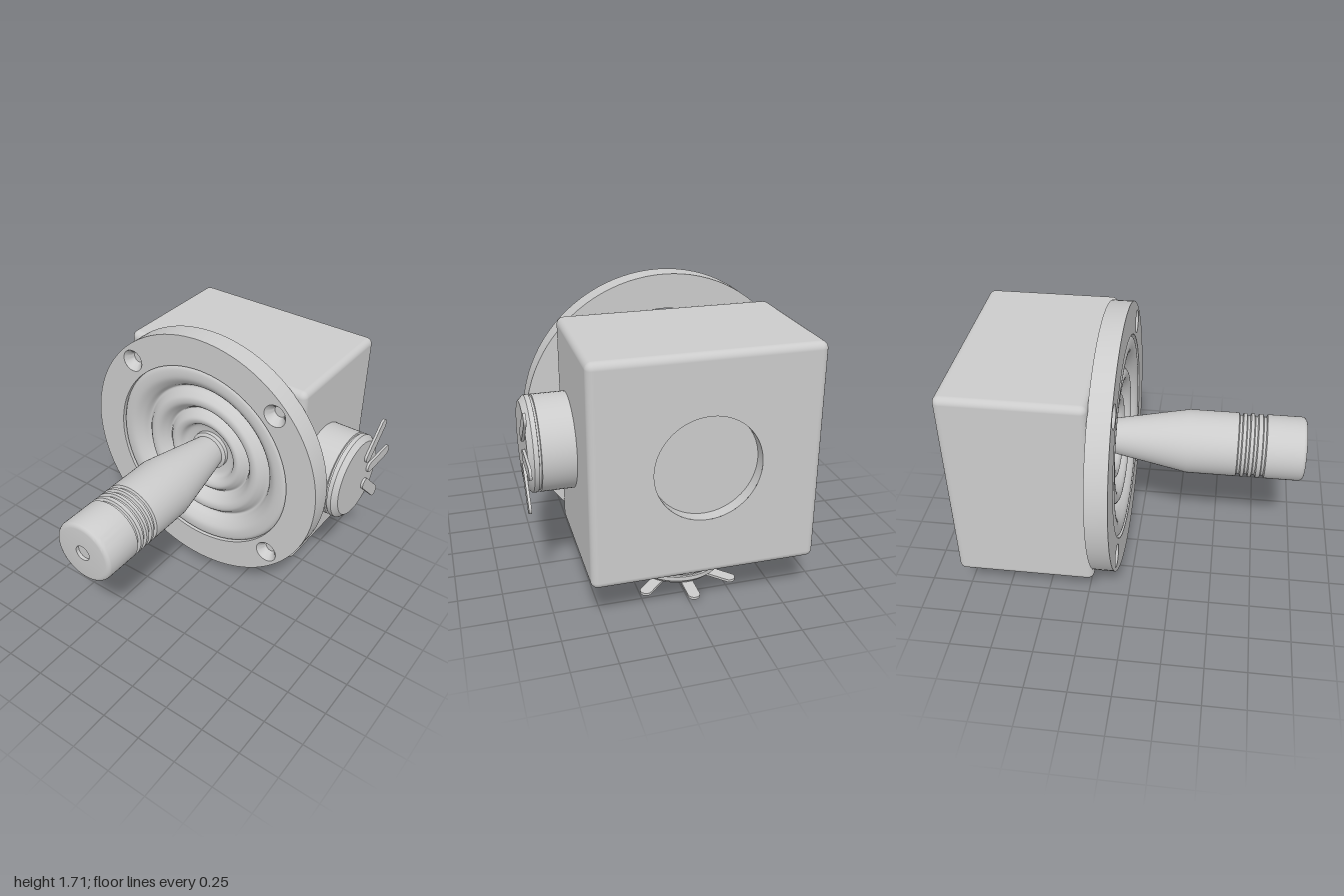
import * as THREE from 'three';
import { toCreasedNormals } from 'three/addons/utils/BufferGeometryUtils.js';
import { RoundedBoxGeometry } from 'three/addons/geometries/RoundedBoxGeometry.js';

const CX = -0.04, CY = 0.895; // main axis of the unit
const material = new THREE.MeshStandardMaterial({ color: 0xcccccc });

function addMesh(parent, name, geometry) {
  const mesh = new THREE.Mesh(geometry, material);
  mesh.name = name;
  parent.add(mesh);
  return mesh;
}

// Turned part about y from [radius, height] pairs, bottom to top
function turned(points, segments = 64) {
  const profile = points.map(p => new THREE.Vector2(p[0], p[1]));
  return toCreasedNormals(new THREE.LatheGeometry(profile, segments), 0.6);
}

function circlePath(x, y, r) {
  return new THREE.Path().absarc(x, y, r, 0, Math.PI * 2, true);
}

// Rounded housing whose flat back has a shallow round recess
function addHousing(parent) {
  const housing = new THREE.Group();
  housing.name = 'housing';
  housing.position.z = -0.5925;
  parent.add(housing);

  const size = 1.24, depth = 0.815, radius = 0.04, holeR = 0.29, recess = 0.07;
  const box = new RoundedBoxGeometry(size, size, depth, 4, radius);
  const pos = box.attributes.position, nor = box.attributes.normal;
  const keptPos = [], keptNor = [];
  for (let i = 0; i < pos.count; i += 3) {
    const isBack = [0, 1, 2].every(k => pos.getZ(i + k) < -depth / 2 + 1e-5);
    if (isBack) continue;
    for (let k = i; k < i + 3; k++) {
      keptPos.push(pos.getX(k), pos.getY(k), pos.getZ(k));
      keptNor.push(nor.getX(k), nor.getY(k), nor.getZ(k));
    }
  }
  const shell = new THREE.BufferGeometry();
  shell.setAttribute('position', new THREE.Float32BufferAttribute(keptPos, 3));
  shell.setAttribute('normal', new THREE.Float32BufferAttribute(keptNor, 3));
  addMesh(housing, 'housingShell', shell);

  const h = size / 2 - radius;
  const face = new THREE.Shape([[-h, -h], [h, -h], [h, h], [-h, h]].map(p => new THREE.Vector2(...p)));
  face.holes.push(circlePath(0, 0, holeR));
  const back = addMesh(housing, 'housingBack', new THREE.ShapeGeometry(face, 48));
  back.rotation.y = Math.PI;
  back.position.z = -depth / 2;

  const well = addMesh(housing, 'backRecess', turned([[holeR, 0], [holeR, -recess], [0, -recess]]));
  well.rotation.x = -Math.PI / 2;
  well.position.z = -depth / 2;
}

// Round mounting plate with bellows opening and four countersunk screw holes
function addPlate(parent) {
  const plate = new THREE.Shape().absarc(0, 0, 0.81, 0, Math.PI * 2, false);
  plate.holes.push(circlePath(0, 0, 0.615));
  for (const sx of [-1, 1]) for (const sy of [-1, 1]) {
    const x = sx * 0.507, y = sy * 0.507;
    plate.holes.push(circlePath(x, y, 0.07));
    const sink = addMesh(parent, 'screwHole', turned([[0.07, 0], [0.042, -0.035], [0.036, -0.06], [0, -0.06]], 32));
    sink.rotation.x = Math.PI / 2;
    sink.position.set(x, y, -0.06);
  }
  const geometry = new THREE.ExtrudeGeometry(plate, { depth: 0.128, bevelEnabled: false, curveSegments: 48 });
  addMesh(parent, 'mountingPlate', toCreasedNormals(geometry, 0.6)).position.z = -0.188;
}

// Rippled rubber boot sinking towards the lever
function addBellows(parent) {
  const ripple = new THREE.SplineCurve([
    [0.615, -0.085], [0.59, -0.064], [0.53, -0.064], [0.48, -0.1], [0.452, -0.14],
    [0.42, -0.108], [0.39, -0.085], [0.35, -0.09], [0.315, -0.13], [0.296, -0.158],
    [0.27, -0.13], [0.24, -0.108], [0.205, -0.12], [0.175, -0.165], [0.1, -0.178],
  ].map(p => new THREE.Vector2(...p)));
  const geometry = new THREE.LatheGeometry(ripple.getPoints(70), 72);
  addMesh(parent, 'bellows', geometry).rotation.x = Math.PI / 2;
}

// Tapered lever with ringed grip and a dimple in its end
function addLever(parent) {
  const R = 0.19;
  const profile = [[0, -0.18], [0.125, -0.18], [0.125, -0.15], [0.105, -0.14], [0.121, -0.06], [R, 0.31]];
  for (const z of [0.615, 0.66, 0.705, 0.755]) {
    profile.push([R, z - 0.013], [R - 0.015, z - 0.007], [R - 0.015, z + 0.007], [R, z + 0.013]);
  }
  for (let i = 0; i <= 5; i++) {
    const a = i / 5 * Math.PI / 2;
    profile.push([R - 0.03 + 0.03 * Math.cos(a), 0.97 + 0.03 * Math.sin(a)]);
  }
  profile.push([0.047, 1], [0.047, 0.98], [0, 0.98]);
  addMesh(parent, 'lever', turned(profile)).rotation.x = Math.PI / 2;
}

// Flat contact strip with round ends, from (x1, y1) to (x2, y2)
function contactGeometry(x1, y1, x2, y2) {
  const r = 0.034, a = Math.atan2(y2 - y1, x2 - x1);
  const strip = new THREE.Shape();
  strip.absarc(x2, y2, r, a - Math.PI / 2, a + Math.PI / 2, false);
  strip.absarc(x1, y1, r, a + Math.PI / 2, a + Math.PI * 1.5, false);
  const geometry = new THREE.ExtrudeGeometry(strip, { depth: 0.015, bevelEnabled: false, curveSegments: 10 });
  return toCreasedNormals(geometry.rotateX(-Math.PI / 2), 0.6);
}

// Round connector pointing along local +y, contacts fanning towards -z
function makeConnector(name) {
  const connector = new THREE.Group();
  connector.name = name;
  addMesh(connector, 'connectorBody', turned([
    [0.265, -0.03], [0.265, 0.182], [0.255, 0.184], [0.255, 0.194], [0.265, 0.196],
    [0.265, 0.222], [0.235, 0.252], [0, 0.252],
  ]));
  const strips = [[0, 0.145, 0, 0.357], [0.1, 0.1, 0.25, 0.25], [-0.1, 0.1, -0.25, 0.25]];
  for (const s of strips) {
    addMesh(connector, 'contact', contactGeometry(...s)).position.y = 0.252;
  }
  return connector;
}

export function createModel() {
  const model = new THREE.Group();
  model.name = 'controlLever';

  const core = new THREE.Group();
  core.name = 'mainUnit';
  core.position.set(CX, CY, 0);
  model.add(core);
  addHousing(core);
  addPlate(core);
  addBellows(core);
  addLever(core);

  const side = makeConnector('sideConnector');
  side.rotation.z = -Math.PI / 2;
  side.position.set(0.58, CY, -0.45);
  const bottom = makeConnector('bottomConnector');
  bottom.rotation.z = Math.PI;
  bottom.position.set(CX, 0.267, -0.45);
  model.add(side, bottom);
  return model;
}
